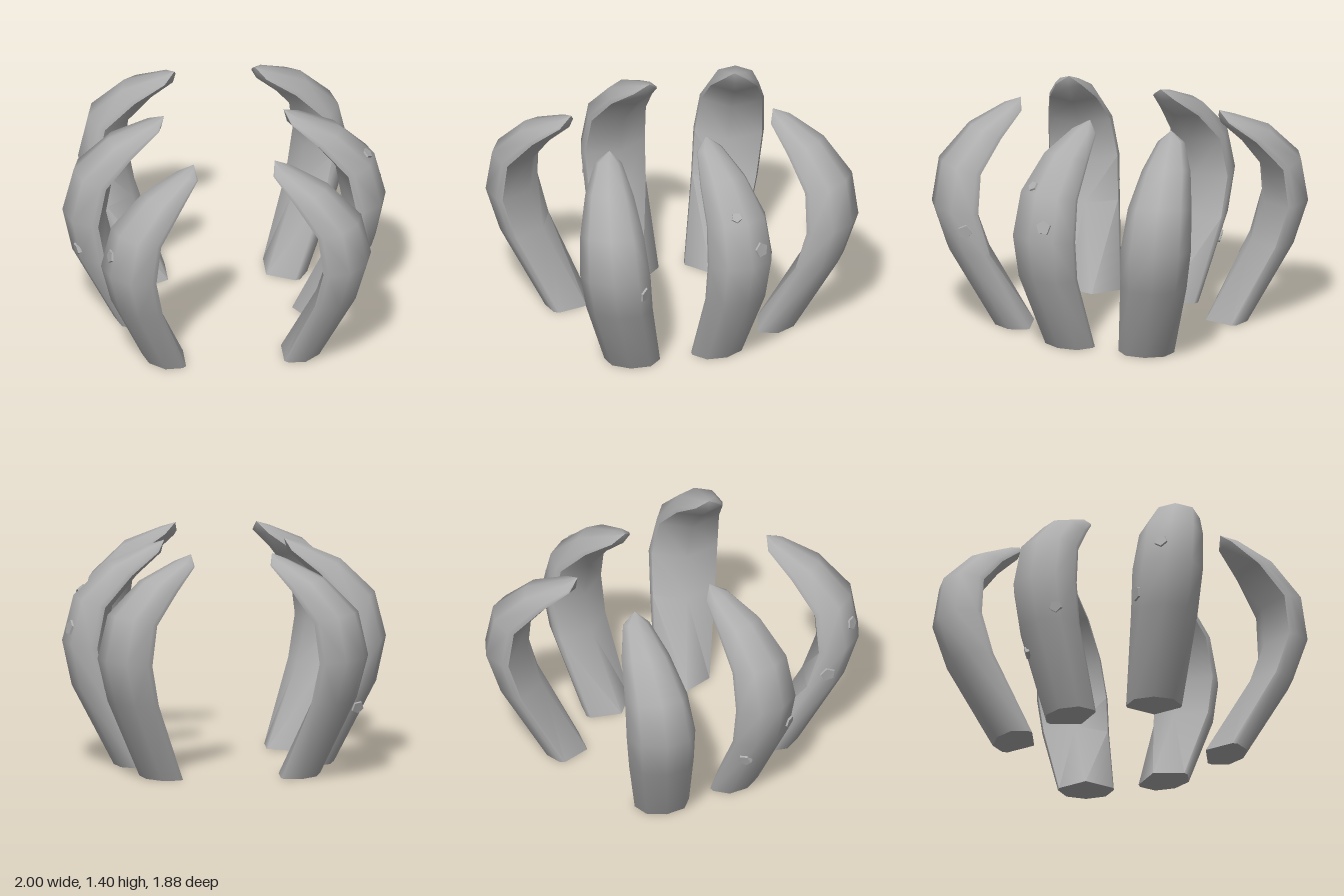
import * as THREE from 'three';
import { toCreasedNormals } from 'three/addons/utils/BufferGeometryUtils.js';

const material = new THREE.MeshStandardMaterial({ color: 0xaeaeae });
material.name = 'stoneGrey';

// Shared rings: outer height, inner edge depth and height, ridge depth and height, half width
const RINGS = [
  [0.0, 0.16, 0.0, 0.26, 0.0, 0.172],
  [0.5, 0.185, 0.5, 0.265, 0.5, 0.205],
  [0.78, 0.2, 0.76, 0.27, 0.75, 0.217],
  [1.06, 0.18, 1.01, 0.24, 0.99, 0.197],
  [1.265, 0.14, 1.2, 0.18, 1.18, 0.15],
  [1.367, 0.07, 1.335, 0.09, 1.32, 0.083],
];

// Outer spine in plan (x, z), one point per ring and then the tip
const SIDE_PATH = [
  [0.68, -0.02], [0.94, -0.025], [1.0, -0.03], [0.93, -0.03],
  [0.72, -0.03], [0.48, -0.035], [0.37, -0.04],
];
const CORNER_PATH = [
  [0.526, 0.567], [0.73, 0.766], [0.795, 0.83], [0.737, 0.82],
  [0.546, 0.735], [0.335, 0.625], [0.25, 0.57],
];

// Curved claw: ridged inner face, rounded back, lofted to a point
function claw(name, path, heading, sx, sz) {
  const pos = [];
  const index = [];
  const n = 8;
  const c = Math.cos(THREE.MathUtils.degToRad(heading));
  const s = Math.sin(THREE.MathUtils.degToRad(heading));
  RINGS.forEach(([yo, sd, ys, rd, yr, w], i) => {
    const [ox, oz] = path[i];
    const mix = (t) => yo + (ys - yo) * t;
    const half = [[sd, 0.96 * w, ys], [sd * 0.8, w, mix(0.8)], [sd * 0.22, 0.7 * w, mix(0.22)]];
    const section = [
      [rd, 0, yr],
      ...half.map(([d, v, y]) => [d, -v, y]),
      [0, 0, yo],
      ...half.reverse(),
    ];
    for (const [d, v, y] of section) {
      pos.push(sx * (ox - d * c - v * s), y, sz * (oz - d * s + v * c));
    }
  });
  const tip = pos.length / 3;
  const [tx, tz] = path[RINGS.length];
  pos.push(sx * tx, 1.4, sz * tz);

  const flip = sx * sz < 0;
  const tri = (a, b, d) => index.push(...(flip ? [a, b, d] : [a, d, b]));
  for (let i = 0; i < RINGS.length; i++) {
    for (let j = 0; j < n; j++) {
      const a = i * n + j;
      const b = i * n + ((j + 1) % n);
      if (i === RINGS.length - 1) tri(a, b, tip);
      else {
        tri(a, b, b + n);
        tri(a, b + n, a + n);
      }
    }
  }
  // Flat foot
  for (let j = 1; j < n - 1; j++) tri(0, j + 1, j);

  const geo = new THREE.BufferGeometry();
  geo.setAttribute('position', new THREE.Float32BufferAttribute(pos, 3));
  geo.setIndex(index);
  const mesh = new THREE.Mesh(toCreasedNormals(geo, 0.95), material);
  mesh.name = name;
  return mesh;
}

// Small five-sided stud set on the surface of a claw
function stud(target, point, dir, radius) {
  const normal = new THREE.Vector3(...dir).normalize();
  const p = new THREE.Vector3(...point);
  const ray = new THREE.Raycaster(p.clone().addScaledVector(normal, 0.6), normal.clone().negate());
  const hit = ray.intersectObject(target)[0];
  const out = hit ? hit.face.normal : normal;
  const geo = new THREE.CylinderGeometry(radius * 0.9, radius, 0.024, 5).toNonIndexed();
  geo.computeVertexNormals();
  const mesh = new THREE.Mesh(geo, material);
  mesh.position.copy(hit ? hit.point : p);
  mesh.quaternion.setFromUnitVectors(new THREE.Vector3(0, 1, 0), out);
  mesh.name = 'stud';
  return mesh;
}

export function createModel() {
  const model = new THREE.Group();
  model.name = 'clawRing';

  const claws = {
    leftClaw: claw('leftClaw', SIDE_PATH, 0, 1, 1),
    rightClaw: claw('rightClaw', SIDE_PATH, 0, -1, 1),
    frontLeftClaw: claw('frontLeftClaw', CORNER_PATH, 31, 1, 1),
    frontRightClaw: claw('frontRightClaw', CORNER_PATH, 31, -1, 1),
    backLeftClaw: claw('backLeftClaw', CORNER_PATH, 31, 1, -1),
    backRightClaw: claw('backRightClaw', CORNER_PATH, 31, -1, -1),
  };
  model.add(...Object.values(claws));
  model.updateMatrixWorld(true);

  // Studs: claw, point near the surface, facing direction, radius
  const studs = [
    ['leftClaw', [0.96, 0.87, -0.11], [1, 0, 0], 0.052],
    ['leftClaw', [0.88, 1.09, 0.02], [1, 0, 0], 0.036],
    ['frontLeftClaw', [0.82, 0.66, 0.61], [1, 0, 0], 0.05],
    ['frontRightClaw', [-0.79, 0.9, 0.78], [-1, 0, 0.3], 0.045],
    ['frontRightClaw', [-0.78, 0.6, 0.59], [-1, 0, 0], 0.052],
    ['rightClaw', [-0.92, 0.57, 0.1], [-1, 0, 0.5], 0.042],
    ['rightClaw', [-0.8, 0.36, -0.16], [-0.7, 0, -0.7], 0.045],
  ];
  for (const [name, point, dir, r] of studs) model.add(stud(claws[name], point, dir, r));
  return model;
}
